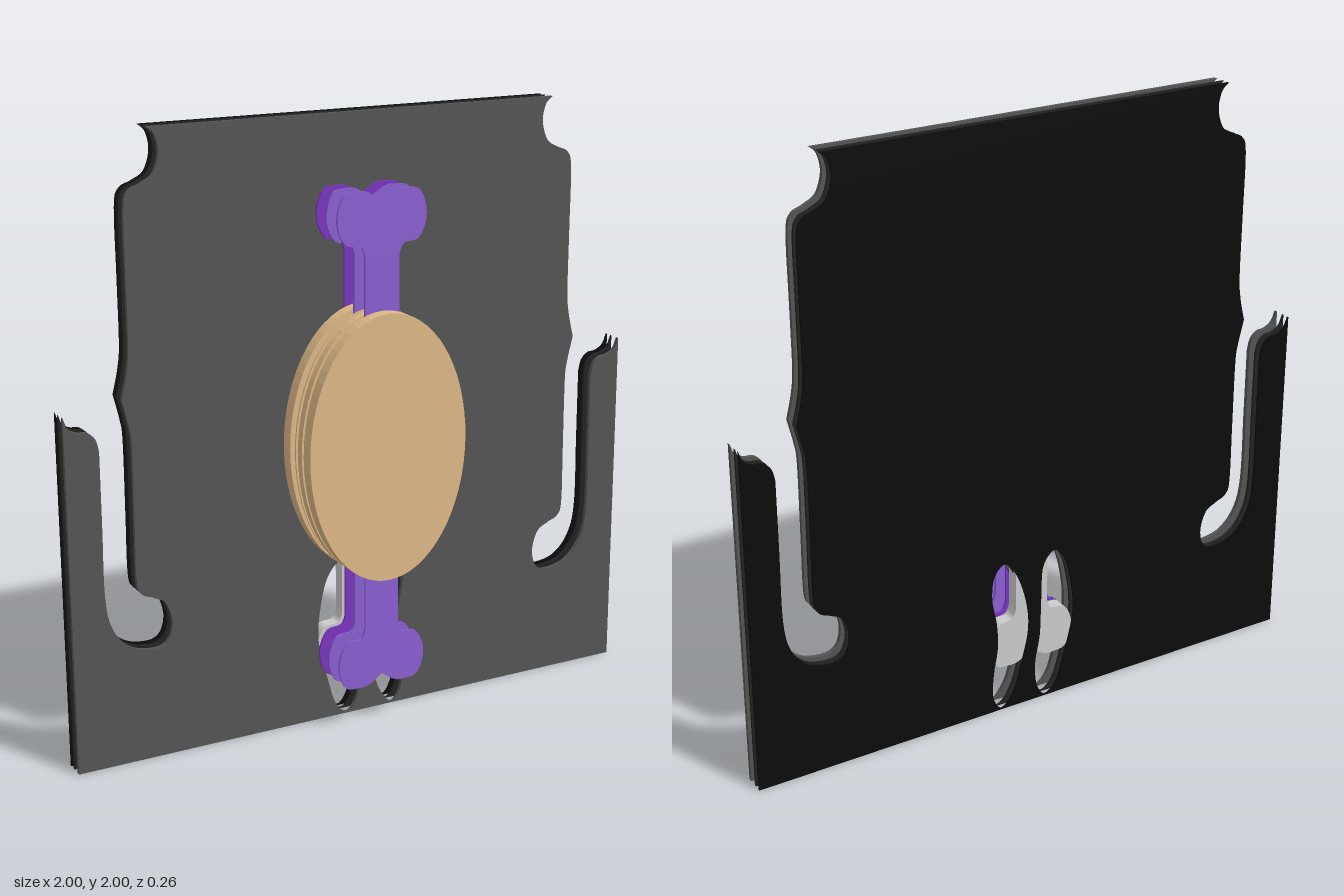
import * as THREE from 'three';

const V = (p) => new THREE.Vector2(p[0], p[1]);
const mirrored = (half) => half.concat(half.slice().reverse().filter((p) => p[0] !== 0).map(([x, y]) => [-x, y]));

// smooth closed outline through a few points
const loop = (pts) => new THREE.CatmullRomCurve3(pts.map(([x, y]) => new THREE.Vector3(x, y, 0)), true)
  .getPoints(60).map((p) => new THREE.Vector2(p.x, Math.max(p.y, 0.002)));

// right half of the back panel: base, hooked slot, waist point, top corner bite
const slot = new THREE.SplineCurve([[0.89, 1.04], [0.89, 0.8], [0.89, 0.57], [0.868, 0.46], [0.81, 0.39], [0.73, 0.37],
  [0.685, 0.39], [0.67, 0.45], [0.69, 0.515], [0.73, 0.54], [0.77, 0.56], [0.785, 0.61], [0.785, 0.8],
  [0.785, 1.04], [0.793, 1.11], [0.812, 1.19]].map(V)).getPoints(90);
const bite = new THREE.SplineCurve([[0.812, 1.19], [0.793, 1.27], [0.785, 1.35], [0.785, 1.55], [0.785, 1.76],
  [0.77, 1.815], [0.73, 1.835], [0.69, 1.86], [0.67, 1.92], [0.68, 1.975], [0.705, 2]].map(V)).getPoints(60);
const lip = new THREE.SplineCurve([[1, 1.16], [0.985, 1.125], [0.955, 1.107], [0.925, 1.103], [0.9, 1.08], [0.89, 1.04]]
  .map(V)).getPoints(16);
const panelHalf = [[1, 0], ...[...lip, ...slot.slice(1), ...bite.slice(1)].map((p) => [p.x, p.y])];
const panelShape = new THREE.Shape(mirrored(panelHalf).map(V));

// two leg-shaped openings at the foot of the panel
const legs = [
  [[-0.08, 0.54], [-0.12, 0.5], [-0.15, 0.39], [-0.157, 0.28], [-0.125, 0.14], [-0.09, 0.035], [-0.05, 0.002],
    [-0.018, 0.04], [-0.007, 0.13], [-0.025, 0.24], [-0.03, 0.38], [-0.04, 0.5]],
  [[0.11, 0.54], [0.07, 0.5], [0.03, 0.4], [0.015, 0.28], [0.04, 0.16], [0.075, 0.05], [0.12, 0.002],
    [0.153, 0.05], [0.152, 0.14], [0.136, 0.24], [0.14, 0.33], [0.157, 0.43], [0.145, 0.51]],
];
panelShape.holes = legs.map((pts) => new THREE.Path(loop(pts)));

// bone outline, modelled around its own centre
const knuckle = new THREE.SplineCurve([[0.06, 0.61], [0.075, 0.642], [0.125, 0.652], [0.152, 0.70], [0.153, 0.755],
  [0.13, 0.805], [0.09, 0.813], [0.05, 0.81], [0, 0.778]].map(V)).getPoints(40).map((p) => [p.x, p.y]);
const boneHalf = [...knuckle.slice().reverse().map(([x, y]) => [x, -y]), ...knuckle];
const boneShape = new THREE.Shape(mirrored(boneHalf.slice(1)).concat([boneHalf[0]]).map(V));

const discShape = new THREE.Shape().absellipse(0, 0, 0.278, 0.437, 0, Math.PI * 2);

export function createModel() {
  const group = new THREE.Group();
  const midY = 0.965;

  // flat layer of a shape between two depths
  const layer = (name, shape, z0, z1, color, y = midY) => {
    const geo = new THREE.ExtrudeGeometry(shape, { depth: z1 - z0, bevelEnabled: false, curveSegments: 32 });
    const mesh = new THREE.Mesh(geo, new THREE.MeshStandardMaterial({ color }));
    mesh.name = name;
    mesh.position.set(0, y, z0);
    group.add(mesh);
    return mesh;
  };

  // stacked panels
  layer('frontPanel', panelShape, -0.074, -0.06, 0x555555, 0);
  layer('middlePanel', panelShape, -0.108, -0.1, 0x222222, 0);
  layer('backPanel', panelShape, -0.134, -0.126, 0x0c0c0c, 0);

  // grey core between the panels
  layer('coreBone', boneShape, -0.122, -0.078, 0xcccccc);
  layer('coreDisc', discShape, -0.122, -0.08, 0xcccccc);

  // oval discs
  const tan = 0xdeb887;
  for (const [name, z0, z1] of [['rearDisc', -0.053, -0.008], ['thinDisc', 0.025, 0.031],
    ['middleDisc', 0.045, 0.073], ['frontDisc', 0.085, 0.13]]) layer(name, discShape, z0, z1, tan);

  // bones sandwiched between the discs
  layer('rearBone', boneShape, -0.06, -0.053, 0x7a35c0);
  layer('middleBone', boneShape, 0.004, 0.012, 0x8a5fd3);
  layer('frontBone', boneShape, 0.075, 0.083, 0x8a5fd3);

  // small bone spacer in the gap
  layer('spacerBone', boneShape, 0.012, 0.045, 0x8a5fd3).scale.set(0.15, 0.25, 1);

  return group;
}
